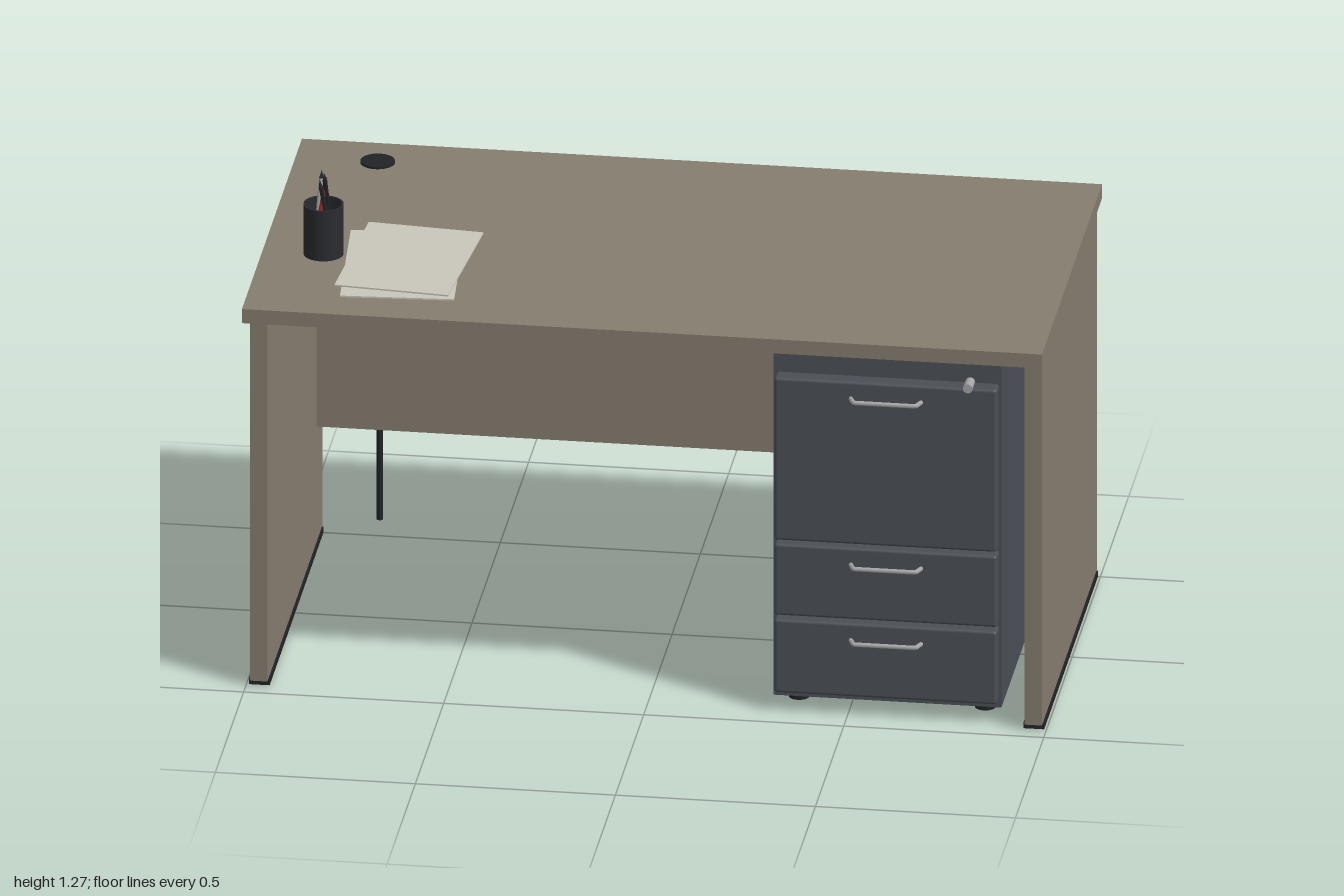
import * as THREE from 'three';
import { RoundedBoxGeometry } from 'three/addons/geometries/RoundedBoxGeometry.js';

const mat = (color, side = THREE.FrontSide) => new THREE.MeshStandardMaterial({ color, side });
const WOOD = mat(0x877d70), STEEL = mat(0x4b4f56), BLACK = mat(0x222327);
const SILVER = mat(0xa4a5a6), PAPER = mat(0xc9c7bc, THREE.DoubleSide), RED = mat(0x9c2a22);
const CUP = mat(0x2a2c30, THREE.DoubleSide);

function add(parent, name, geometry, material, x = 0, y = 0, z = 0) {
  const mesh = new THREE.Mesh(geometry, material);
  mesh.name = name;
  mesh.position.set(x, y, z);
  parent.add(mesh);
  return mesh;
}

// Box given by its limits on each axis
function box(parent, name, material, [x0, x1], [y0, y1], [z0, z1], radius = 0) {
  const size = [x1 - x0, y1 - y0, z1 - z0];
  const geometry = radius ? new RoundedBoxGeometry(...size, 3, radius) : new THREE.BoxGeometry(...size);
  return add(parent, name, geometry, material, (x0 + x1) / 2, (y0 + y1) / 2, (z0 + z1) / 2);
}

function group(parent, name) {
  const g = new THREE.Group();
  g.name = name;
  parent.add(g);
  return g;
}

// Slim bow handle with bent ends, centred on the drawer
function handle(parent, x, y, z) {
  const path = new THREE.CurvePath();
  const pts = [[-0.088, 0], [-0.078, 0.026], [0.078, 0.026], [0.088, 0]]
    .map(([px, pz]) => new THREE.Vector3(px, 0, pz));
  for (let i = 0; i < 3; i++) path.add(new THREE.LineCurve3(pts[i], pts[i + 1]));
  add(parent, 'drawerHandle', new THREE.TubeGeometry(path, 48, 0.006, 8), SILVER, x, y, z);
}

// Thin sheet from its four corners in x and z
function sheet(parent, corners, y) {
  const shape = new THREE.Shape(corners.map(([x, z]) => new THREE.Vector2(x, -z)));
  const geometry = new THREE.ExtrudeGeometry(shape, { depth: 0.004, bevelEnabled: false });
  geometry.rotateX(-Math.PI / 2);
  add(parent, 'paperSheet', geometry, PAPER, 0, y, 0);
}

// Pencil standing between two points, with a pointed tip
function pencil(parent, from, to, material) {
  const a = new THREE.Vector3(...from), dir = new THREE.Vector3(...to).sub(a);
  const len = dir.length(), tip = 0.022;
  const p = group(parent, 'pencil');
  p.position.copy(a);
  p.quaternion.setFromUnitVectors(new THREE.Vector3(0, 1, 0), dir.normalize());
  add(p, 'pencilShaft', new THREE.CylinderGeometry(0.006, 0.006, len - tip, 6), material, 0, (len - tip) / 2, 0);
  add(p, 'pencilTip', new THREE.ConeGeometry(0.006, tip, 6), BLACK, 0, len - tip / 2, 0);
}

export function createModel() {
  const desk = new THREE.Group();
  desk.name = 'desk';

  // Worktop and rear modesty panel
  box(desk, 'worktop', WOOD, [-1, 1], [1.01, 1.048], [-0.53, 0.53]);
  box(desk, 'modestyPanel', WOOD, [-0.945, 0.945], [0.33, 0.955], [-0.435, -0.4]);

  // Side panels on dark floor strips
  for (const s of [-1, 1]) {
    const x = s * 0.968;
    box(desk, 'sidePanel', WOOD, [x - 0.022, x + 0.022], [0.015, 1.01], [-0.515, 0.462]);
    box(desk, 'floorStrip', BLACK, [x - 0.026, x + 0.026], [0, 0.015], [-0.503, 0.45]);
  }

  // Drawer cabinet
  const cabinet = group(desk, 'drawerCabinet');
  box(cabinet, 'cabinetBody', STEEL, [0.31, 0.88], [0.03, 0.955], [-0.4, 0.4]);
  for (const [y0, y1] of [[0.465, 0.904], [0.262, 0.455], [0.053, 0.251]]) {
    box(cabinet, 'drawerFront', STEEL, [0.317, 0.874], [y0, y1], [0.39, 0.44], 0.008);
    handle(cabinet, 0.597, y1 - 0.044, 0.44);
  }
  const lock = add(cabinet, 'lock', new THREE.CylinderGeometry(0.012, 0.012, 0.05, 20), SILVER, 0.802, 0.906, 0.42);
  lock.rotation.x = Math.PI / 2;
  for (const x of [0.365, 0.83]) for (const z of [-0.33, 0.33])
    add(cabinet, 'cabinetFoot', new THREE.CylinderGeometry(0.026, 0.026, 0.03, 20), BLACK, x, 0.015, z);

  // Cable outlet and hanging cable
  add(desk, 'cableOutlet', new THREE.CylinderGeometry(0.043, 0.043, 0.048, 32), BLACK, -0.794, 1.029, -0.412);
  add(desk, 'cable', new THREE.CylinderGeometry(0.008, 0.008, 0.94, 10), BLACK, -0.793, 0.54, -0.444);

  // Loose papers
  const papers = group(desk, 'papers');
  sheet(papers, [[-0.8, 0.02], [-0.77, 0.425], [-0.487, 0.408], [-0.517, 0.003]], 1.049);
  sheet(papers, [[-0.76, -0.015], [-0.79, 0.38], [-0.503, 0.405], [-0.47, 0.01]], 1.058);

  // Pencil cup, open at the top
  const pot = group(desk, 'pencilCup');
  pot.position.set(-0.848, 1.048, 0.162);
  const profile = [[0, 0], [0.05, 0], [0.05, 0], [0.05, 0.135], [0.05, 0.135], [0.045, 0.135],
    [0.045, 0.135], [0.045, 0.008], [0.045, 0.008], [0, 0.008]].map(([r, y]) => new THREE.Vector2(r, y));
  // Separate walls keep the rim edges sharp
  for (let i = 0; i < profile.length - 1; i += 2)
    add(pot, 'cupWall', new THREE.LatheGeometry([profile[i], profile[i + 1]], 32), CUP);
  pencil(pot, [0.02, 0.01, -0.025], [0.002, 0.222, 0.008], BLACK);
  pencil(pot, [-0.025, 0.01, 0.015], [0.008, 0.205, -0.004], RED);
  pencil(pot, [-0.02, 0.01, 0.02], [-0.006, 0.22, -0.014], SILVER);
  pencil(pot, [0.028, 0.01, 0.01], [-0.01, 0.2, 0.002], BLACK);
  return desk;
}
